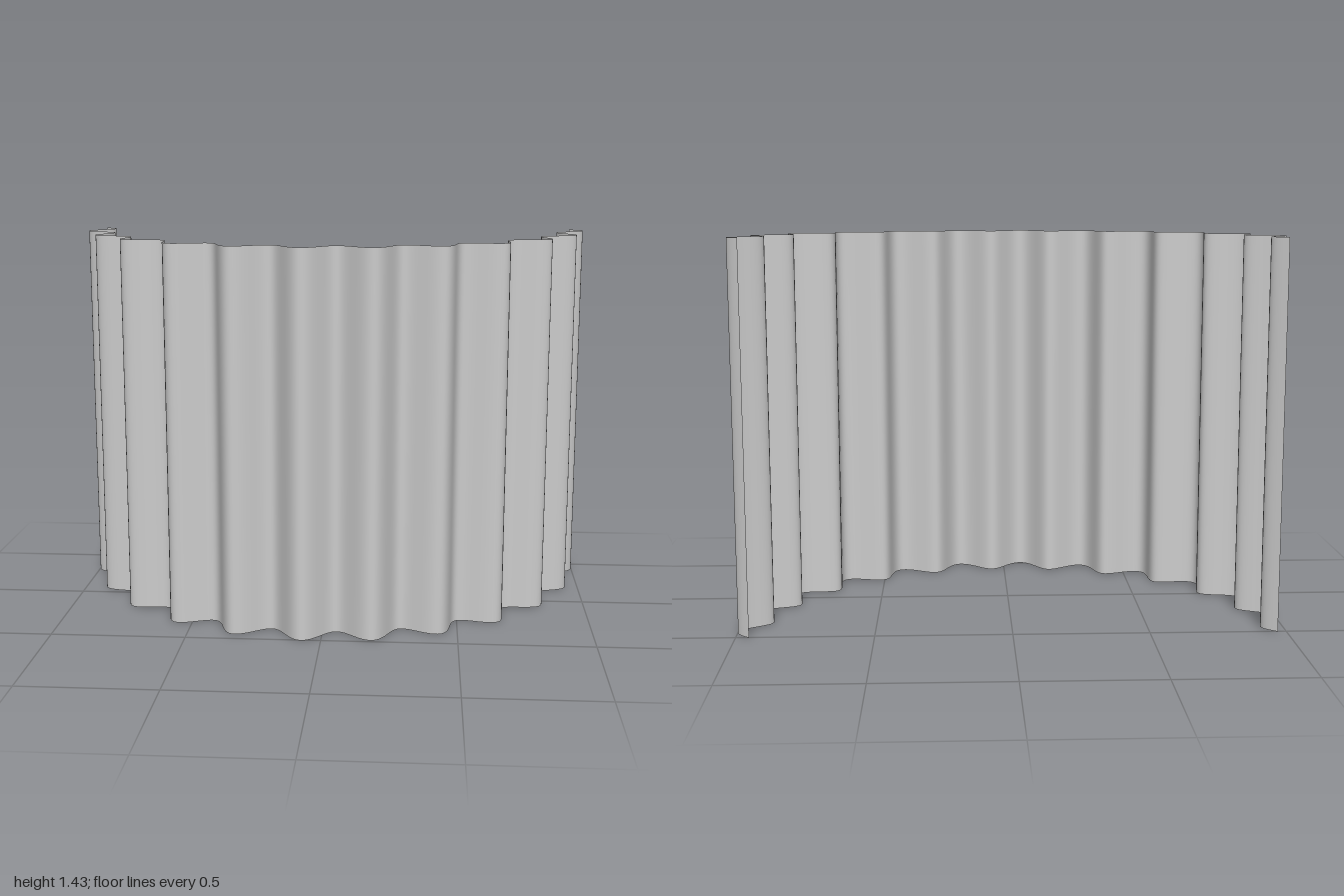
import * as THREE from 'three';

const HEIGHT = 1.43;
const RADIUS = 0.96;     // mean radius of the half ring
const AMPLITUDE = 0.05;  // depth of the corrugation
const WAVES = 24;        // waves per full turn, so 12 on the half ring

export function createModel() {
  const group = new THREE.Group();
  group.name = 'corrugatedScreen';

  // Flat sheet bent into a half ring with a sine-wave radius
  const sheet = new THREE.PlaneGeometry(1, HEIGHT, 288, 1);
  const pos = sheet.attributes.position;
  for (let i = 0; i < pos.count; i++) {
    const angle = Math.PI * (0.5 - pos.getX(i));
    const r = RADIUS + AMPLITUDE * Math.sin(WAVES * angle);
    pos.setXYZ(i, r * Math.cos(angle), pos.getY(i), r * Math.sin(angle));
  }
  sheet.computeVertexNormals();

  // Centre on x and z, stand on the ground
  sheet.center();
  sheet.translate(0, HEIGHT / 2, 0);

  const material = new THREE.MeshStandardMaterial({ color: 0xcccccc, side: THREE.DoubleSide });
  const wall = new THREE.Mesh(sheet, material);
  wall.name = 'corrugatedWall';
  group.add(wall);
  return group;
}
